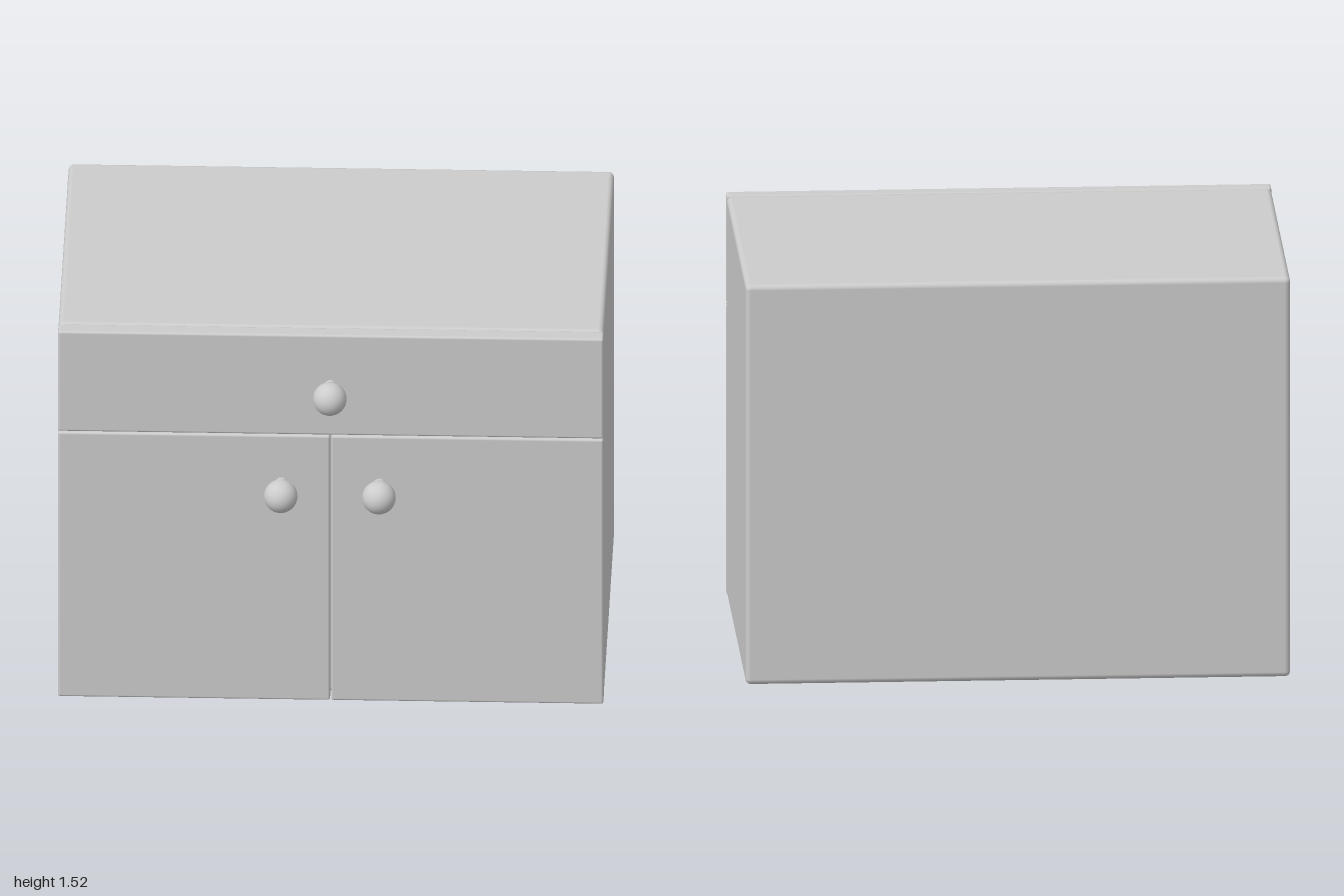
import * as THREE from 'three';
import { RoundedBoxGeometry } from 'three/addons/geometries/RoundedBoxGeometry.js';

const paint = new THREE.MeshStandardMaterial({ color: 0xcccccc });
paint.name = 'light grey';

// Box with softened edges, given by its extents on each axis
function panel(name, [x0, x1], [y0, y1], [z0, z1], bevel) {
  const geometry = new RoundedBoxGeometry(x1 - x0, y1 - y0, z1 - z0, 2, bevel);
  const mesh = new THREE.Mesh(geometry, paint);
  mesh.name = name;
  mesh.position.set((x0 + x1) / 2, (y0 + y1) / 2, (z0 + z1) / 2);
  return mesh;
}

// Round knob on a short stem, standing out from the front
function knob(name, x, y) {
  const group = new THREE.Group();
  group.name = name;
  const ball = new THREE.Mesh(new THREE.SphereGeometry(0.062, 32, 20), paint);
  ball.name = 'knobBall';
  ball.position.z = 0.677;
  const stem = new THREE.Mesh(new THREE.CylinderGeometry(0.024, 0.024, 0.08, 24), paint);
  stem.name = 'knobStem';
  stem.rotation.x = Math.PI / 2;
  stem.position.z = 0.605;
  group.add(ball, stem);
  group.position.set(x, y, 0);
  return group;
}

export function createModel() {
  const model = new THREE.Group();
  model.name = 'cabinet';
  const front = [0.512, 0.575];

  // Cabinet body and drawer
  model.add(panel('body', [-1, 1], [0, 1.518], [-0.739, 0.512], 0.02));
  model.add(panel('drawerFront', [-1, 1], [1.103, 1.518], front, 0.009));
  model.add(knob('drawerKnob', 0, 1.309));

  // Pair of doors
  model.add(panel('leftDoor', [0.002, 1], [0, 1.1], front, 0.009));
  model.add(panel('rightDoor', [-1, -0.002], [0, 1.1], front, 0.009));
  model.add(knob('leftDoorKnob', 0.18, 0.902));
  model.add(knob('rightDoorKnob', -0.18, 0.902));
  return model;
}
